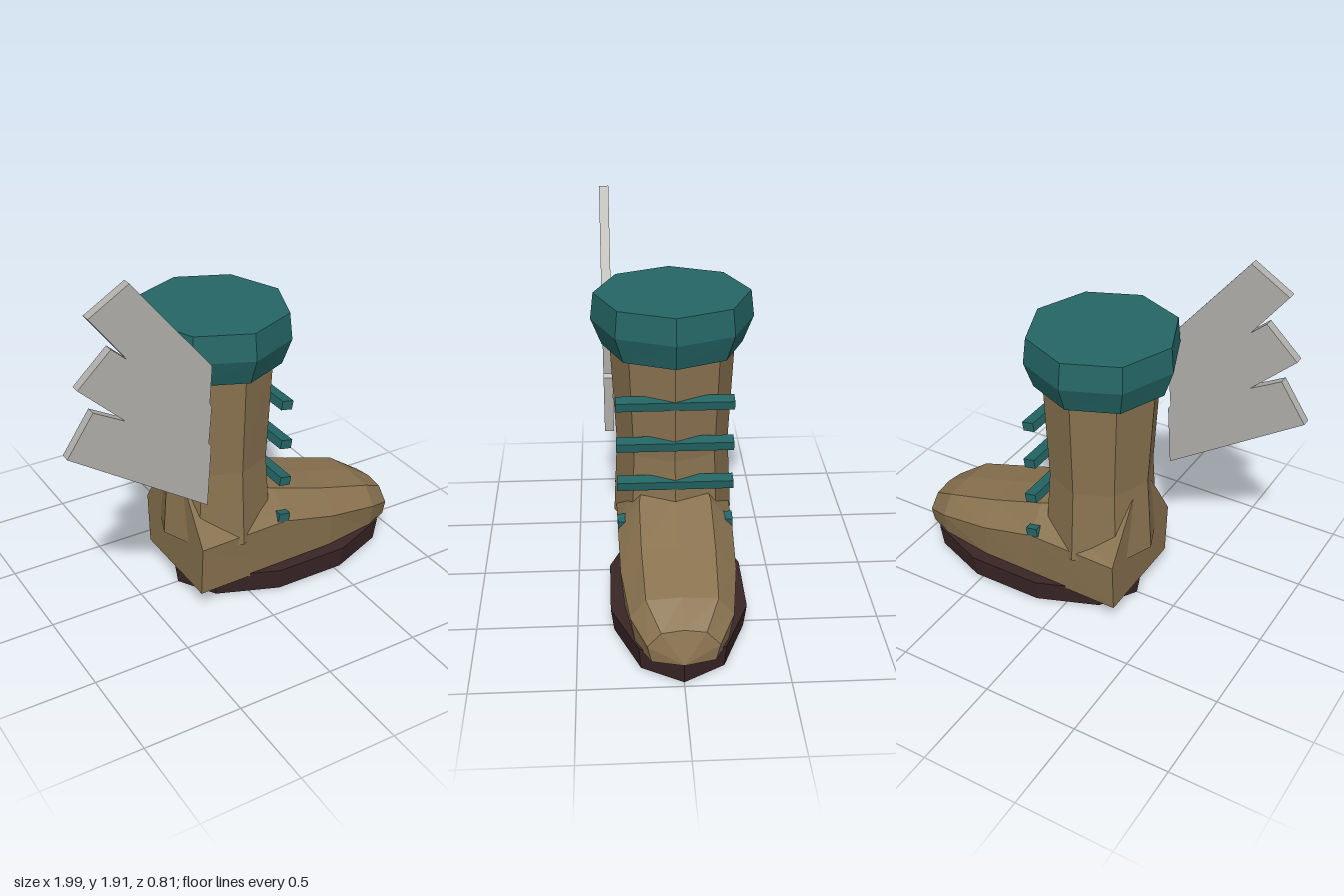
import * as THREE from 'three';

const flat = (name, color) => {
  const m = new THREE.MeshStandardMaterial({ color, flatShading: true });
  m.name = name;
  return m;
};

// Skin a list of rings (each counter-clockwise about the loft direction) and cap both ends
function loft(rings, tip) {
  const pos = [];
  const tri = (...pts) => pts.forEach((p) => pos.push(...p));
  const middle = (r) => [0, 1, 2].map((k) => r.reduce((s, p) => s + p[k], 0) / r.length);
  const first = rings[0], last = rings[rings.length - 1], n = first.length;
  const start = middle(first), end = tip || middle(last);
  for (let j = 0; j < n; j++) {
    const k = (j + 1) % n;
    tri(start, first[k], first[j]);
    for (let i = 0; i < rings.length - 1; i++) {
      const a = rings[i], b = rings[i + 1];
      tri(a[j], a[k], b[k]);
      tri(a[j], b[k], b[j]);
    }
    tri(end, last[j], last[k]);
  }
  const g = new THREE.BufferGeometry();
  g.setAttribute('position', new THREE.Float32BufferAttribute(pos, 3));
  g.computeVertexNormals();
  return g;
}

// Horizontal elliptical ring with a vertex on the x axis
const ring = (sides, cx, y, rx, rz) =>
  Array.from({ length: sides }, (_, i) => {
    const t = (i / sides) * Math.PI * 2;
    return [cx + rx * Math.cos(t), y, -rz * Math.sin(t)];
  });

export function createModel() {
  const leather = flat('brown leather', 0x8a7350);
  const teal = flat('teal cloth', 0x256666);
  const rubber = flat('dark sole', 0x3a2527);
  const grey = flat('grey feather', 0xb2b1ad);

  const group = new THREE.Group();
  const add = (name, geometry, material) => {
    const mesh = new THREE.Mesh(geometry, material);
    mesh.name = name;
    group.add(mesh);
    return mesh;
  };

  // Ten-sided sole
  add('sole', loft([ring(10, 0.345, 0, 0.625, 0.336), ring(10, 0.345, 0.12, 0.642, 0.352)]), rubber);

  // Foot: x, bottom half width, side half width and height, top half width and height, ridge height
  const sections = [
    [-0.295, 0.28, 0.298, 0.38, 0.1, 0.68, 0.69],
    [0.2, 0.27, 0.29, 0.385, 0.18, 0.525, 0.54],
    [0.5, 0.265, 0.283, 0.31, 0.18, 0.43, 0.44],
    [0.8, 0.22, 0.245, 0.25, 0.17, 0.345, 0.355],
    [0.945, 0.15, 0.17, 0.19, 0.105, 0.26, 0.275],
  ].map(([x, b, s, sy, t, ty, top]) => [
    [x, top, 0], [x, ty, t], [x, sy, s], [x, 0.105, b],
    [x, 0.105, -b], [x, sy, -s], [x, ty, -t],
  ]);
  add('foot', loft(sections, [0.99, 0.11, 0]), leather);

  // Eight-sided shaft with a narrow ankle
  add('shaft', loft([
    ring(8, -0.06, 0.34, 0.295, 0.305),
    ring(8, -0.06, 0.75, 0.265, 0.285),
    ring(8, -0.06, 1.35, 0.295, 0.315),
  ]), leather);

  // Flared cuff
  add('cuff', loft([
    ring(8, -0.06, 1.28, 0.34, 0.35),
    ring(8, -0.06, 1.415, 0.383, 0.403),
    ring(8, -0.06, 1.55, 0.37, 0.387),
  ]), teal);

  // Laces across the front of the shaft
  [0.41, 0.63, 0.845, 1.065].forEach((y, i) => {
    const lace = add('lace' + (i + 1), new THREE.BoxGeometry(0.063, 0.047, 0.58), teal);
    lace.position.set(0.19, y, 0);
    lace.rotation.z = -0.18;
  });

  // Three-feathered wing plate on one side
  const outline = [
    [-0.665, 1.91], [-0.865, 1.79], [-0.69, 1.56], [-0.765, 1.627], [-0.932, 1.47],
    [-0.71, 1.26], [-0.865, 1.345], [-1, 1.147], [-0.295, 0.68], [-0.272, 1.0],
    [-0.285, 1.02], [-0.268, 1.21], [-0.278, 1.23], [-0.265, 1.42],
  ].map(([x, y]) => new THREE.Vector2(x, y));
  const wing = new THREE.ExtrudeGeometry(new THREE.Shape(outline), { depth: 0.048, bevelEnabled: false });
  add('wing', wing, grey).position.z = 0.298;

  return group;
}
